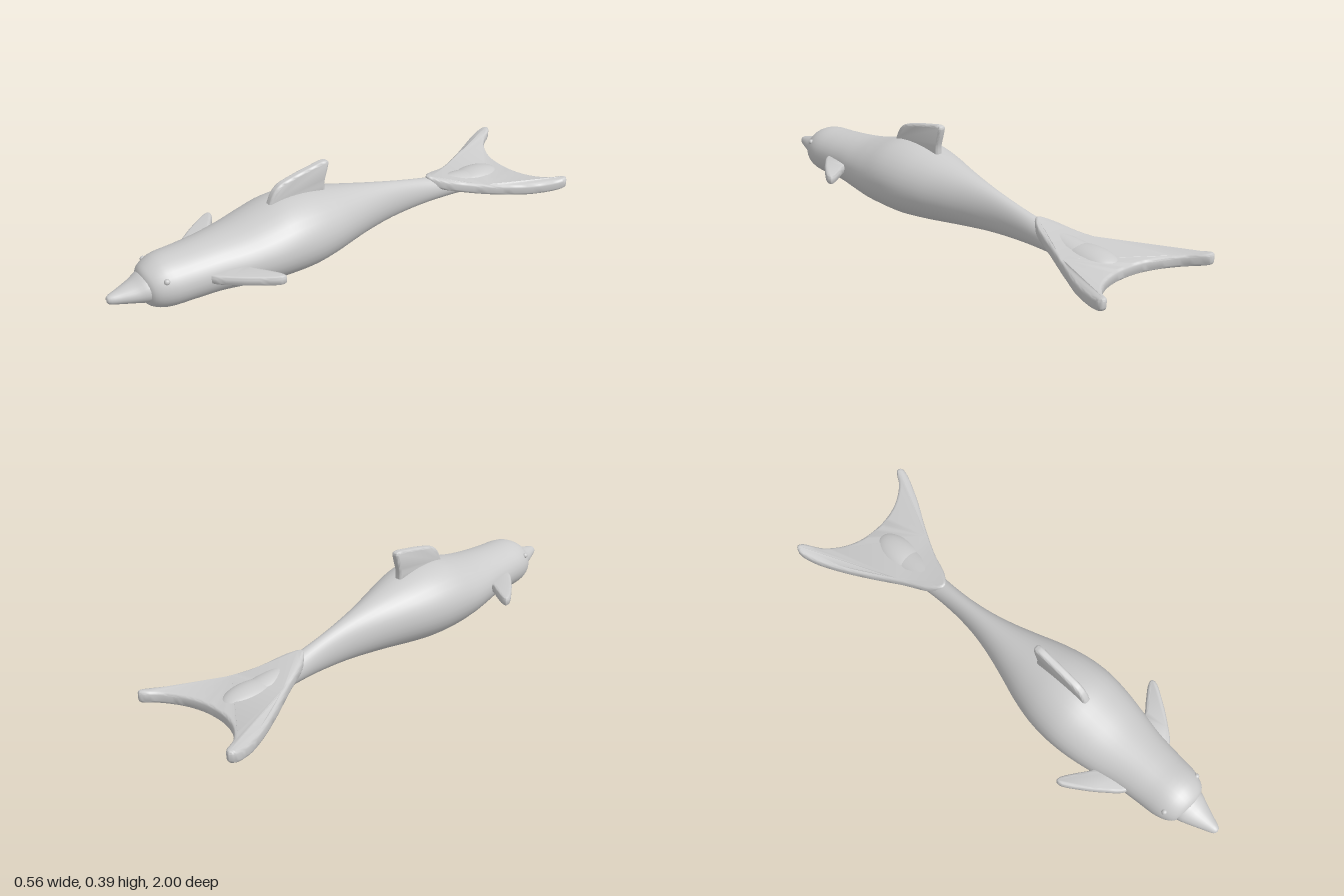
import * as THREE from 'three';
import { toCreasedNormals } from 'three/addons/utils/BufferGeometryUtils.js';

const material = new THREE.MeshStandardMaterial({ color: 0xcccccc });

function part(name, geometry) {
  const mesh = new THREE.Mesh(geometry, material);
  mesh.name = name;
  return mesh;
}

// Skin elliptical rings given as [z, halfWidth, bottom, top], nose to tail.
function loft(stations, rings, sides) {
  const widths = new THREE.CatmullRomCurve3(stations.map(([z, w]) => new THREE.Vector3(z, w, 0)));
  const heights = new THREE.CatmullRomCurve3(stations.map(([z, , b, t]) => new THREE.Vector3(z, b, t)));
  const positions = [], index = [];
  for (let i = 0; i <= rings; i++) {
    const w = widths.getPoint(i / rings), h = heights.getPoint(i / rings);
    const mid = (h.y + h.z) / 2, half = (h.z - h.y) / 2;
    for (let j = 0; j < sides; j++) {
      const a = (j / sides) * Math.PI * 2;
      positions.push(Math.cos(a) * w.y, mid + Math.sin(a) * half, h.x);
      if (i === rings) continue;
      const k = (j + 1) % sides, p = i * sides, q = p + sides;
      index.push(p + j, q + j, p + k, p + k, q + j, q + k);
    }
  }
  const geometry = new THREE.BufferGeometry();
  geometry.setAttribute('position', new THREE.Float32BufferAttribute(positions, 3));
  geometry.setIndex(index);
  geometry.computeVertexNormals();
  return geometry;
}

// Rounded slab from a smooth closed outline, centred on its thickness.
function slab(points, thickness, bevel) {
  const curve = new THREE.CatmullRomCurve3(points.map(([x, y]) => new THREE.Vector3(x, y, 0)), true, 'centripetal');
  const outline = curve.getPoints(points.length * 5).slice(0, -1).map((p) => new THREE.Vector2(p.x, p.y));
  const geometry = new THREE.ExtrudeGeometry(new THREE.Shape(outline), {
    depth: thickness - 2 * bevel, steps: 1, bevelEnabled: true,
    bevelThickness: bevel, bevelSize: bevel, bevelOffset: -bevel, bevelSegments: 3,
  });
  return geometry.translate(0, 0, bevel - thickness / 2);
}

export function createModel() {
  const model = new THREE.Group();
  model.name = 'dolphin';

  // Body from forehead to tail stock
  model.add(part('body', loft([
    [0.872, 0.002, 0.125, 0.129], [0.868, 0.05, 0.08, 0.185], [0.85, 0.085, 0.058, 0.207],
    [0.8, 0.11, 0.04, 0.23], [0.7, 0.121, 0.036, 0.235], [0.6, 0.132, 0.034, 0.241],
    [0.5, 0.153, 0.024, 0.252], [0.4, 0.171, 0.011, 0.274], [0.3, 0.178, 0.003, 0.297],
    [0.2, 0.17, 0.001, 0.297], [0.1, 0.146, 0.009, 0.28], [0, 0.112, 0.02, 0.257],
    [-0.1, 0.08, 0.031, 0.233], [-0.2, 0.056, 0.041, 0.209], [-0.3, 0.043, 0.047, 0.185],
    [-0.4, 0.04, 0.05, 0.162], [-0.5, 0.045, 0.05, 0.14], [-0.6, 0.058, 0.05, 0.128],
    [-0.7, 0.05, 0.055, 0.11], [-0.76, 0.002, 0.08, 0.082],
  ], 76, 32)));

  // Tapered beak
  model.add(part('beak', loft([
    [1.0, 0.002, 0.125, 0.129], [0.994, 0.014, 0.113, 0.142], [0.95, 0.034, 0.1, 0.154],
    [0.9, 0.055, 0.088, 0.168], [0.86, 0.07, 0.078, 0.187], [0.83, 0.07, 0.08, 0.187],
  ], 20, 24)));

  // Eyes and side flippers
  for (const [side, s] of [['left', 1], ['right', -1]]) {
    const eye = part(side + 'Eye', new THREE.SphereGeometry(0.011, 12, 8));
    eye.position.set(s * 0.092, 0.18, 0.81);
    model.add(eye);

    const flipper = slab([
      [0.06, 0.67], [0.125, 0.655], [0.185, 0.592], [0.235, 0.525], [0.276, 0.455],
      [0.272, 0.438], [0.255, 0.438], [0.2, 0.473], [0.145, 0.51], [0.06, 0.52],
    ].map(([x, z]) => [s * x, z]), 0.036, 0.01);
    flipper.rotateX(Math.PI / 2).translate(0, 0.145, 0);
    model.add(part(side + 'Flipper', toCreasedNormals(flipper, 0.8)));
  }

  // Dorsal fin, drawn as (-z, y) and turned into the centre plane
  const dorsal = slab([
    [-0.34, 0.26], [-0.333, 0.305], [-0.3, 0.35], [-0.23, 0.372], [-0.15, 0.387], [-0.088, 0.395],
    [-0.074, 0.388], [-0.078, 0.36], [-0.092, 0.31], [-0.1, 0.25],
  ], 0.032, 0.01);
  dorsal.rotateY(Math.PI / 2);
  model.add(part('dorsalFin', toCreasedNormals(dorsal, 0.8)));

  // Tail flukes, one tip slightly longer, bent to follow a shallow sag
  const flukes = slab([
    [0, -0.42], [0.042, -0.46], [0.09, -0.57], [0.16, -0.7], [0.225, -0.81], [0.276, -0.925],
    [0.276, -0.948], [0.257, -0.957], [0.215, -0.905], [0.15, -0.86], [0.075, -0.836], [0, -0.832],
    [-0.075, -0.843], [-0.145, -0.875], [-0.205, -0.925], [-0.252, -0.993], [-0.272, -0.999],
    [-0.284, -0.978], [-0.27, -0.915], [-0.22, -0.81], [-0.16, -0.7], [-0.09, -0.57], [-0.042, -0.46],
  ], 0.046, 0.012);
  flukes.rotateX(Math.PI / 2);
  const pos = flukes.attributes.position;
  for (let i = 0; i < pos.count; i++) {
    const d = pos.getZ(i) + 0.78;
    pos.setY(i, pos.getY(i) + 0.076 + 0.55 * d * d);
  }
  model.add(part('tailFlukes', toCreasedNormals(flukes, 0.8)));

  // Oval swelling where the tail stock meets the flukes
  const bulge = part('tailBulge', new THREE.SphereGeometry(1, 32, 20));
  bulge.scale.set(0.07, 0.042, 0.125);
  bulge.position.set(0, 0.083, -0.675);
  model.add(bulge);

  return model;
}
